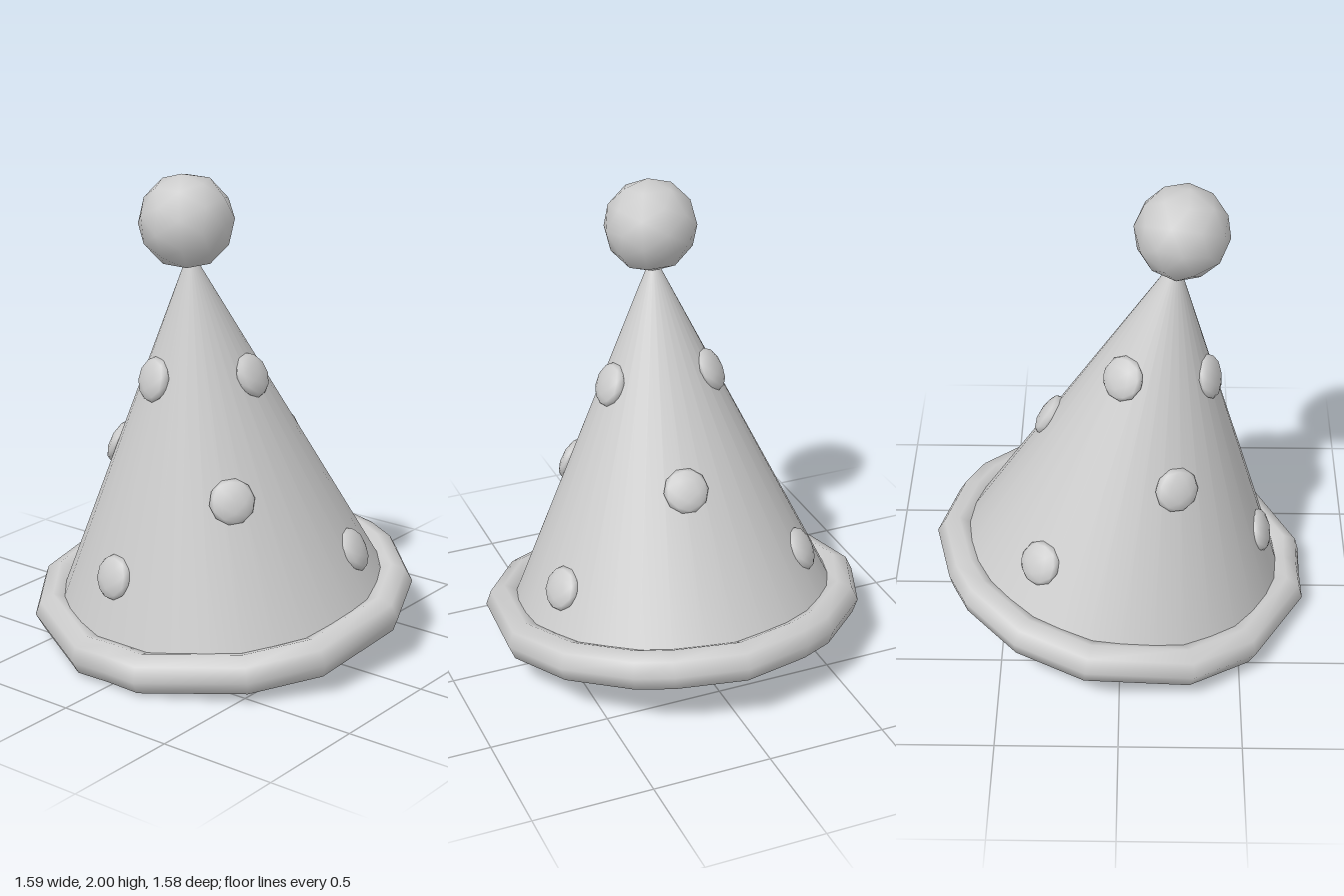
import * as THREE from 'three';

const CONE_H = 1.465, R_BASE = 0.7, R_TIP = 0.03, TILT = 0.142;

// Wobbly rim: octagonal tube swept through uneven stations [degrees from the back, outer radius]
function rimGeometry() {
  const half = [[22, 0.789], [34, 0.793], [57, 0.8], [80, 0.806], [112.5, 0.81], [135.5, 0.802], [168.5, 0.808]];
  const stations = [[0, 0.805], ...half, [180, 0.787], ...half.map(([a, r]) => [360 - a, r]).reverse()];
  const tube = 0.084, sides = 8, n = stations.length;
  const pos = [], index = [];
  stations.forEach(([deg, outer], i) => {
    const a = THREE.MathUtils.degToRad(deg);
    for (let j = 0; j < sides; j++) {
      const t = (j / sides) * Math.PI * 2;
      const r = outer - tube + tube * Math.cos(t);
      pos.push(r * Math.sin(a), tube * Math.sin(t), -r * Math.cos(a));
      const i2 = (i + 1) % n, j2 = (j + 1) % sides;
      const p = i * sides + j, q = i2 * sides + j, s = i2 * sides + j2, u = i * sides + j2;
      index.push(p, u, q, q, u, s);
    }
  });
  const g = new THREE.BufferGeometry();
  g.setAttribute('position', new THREE.Float32BufferAttribute(pos, 3));
  g.setIndex(index);
  g.computeVertexNormals();
  return g;
}

export function createModel() {
  const felt = new THREE.MeshStandardMaterial({ color: 0xcccccc });
  felt.name = 'light grey';

  const root = new THREE.Group();
  root.name = 'partyHat';
  const hat = new THREE.Group();
  hat.name = 'tiltedHat';
  hat.position.y = 0.193;
  hat.rotation.x = TILT;
  root.add(hat);

  const add = (name, geometry) => {
    const m = new THREE.Mesh(geometry, felt);
    m.name = name;
    hat.add(m);
    return m;
  };

  // Cone body, closed underneath
  add('cone', new THREE.CylinderGeometry(R_TIP, R_BASE, CONE_H, 32)).position.y = CONE_H / 2;

  add('rim', rimGeometry());

  // Pompom on the tip
  add('pompom', new THREE.IcosahedronGeometry(0.193, 1)).position.set(0, 1.645, 0.004);

  // Flattened buttons lying on the slope: [azimuth from the front in degrees, height along the axis]
  const dots = [
    [-18.7, 1.034], [-9.9, 0.294], [49.7, 0.606], [98, 1.015], [109, 0.235],
    [170, 0.64], [-129, 1.04], [-70, 0.666], [-129.5, 0.262],
  ];
  // Turn a corner of the icosahedron to the pole, then squash
  const pole = new THREE.Vector3(0, 1, (1 + Math.sqrt(5)) / 2).normalize();
  const toZ = new THREE.Quaternion().setFromUnitVectors(
    new THREE.Vector3(0, pole.y, pole.z), new THREE.Vector3(0, 0, 1));
  const dotGeometry = new THREE.IcosahedronGeometry(0.093, 1).applyQuaternion(toZ).scale(1, 1, 0.4);
  const slope = (R_BASE - R_TIP) / CONE_H;
  dots.forEach(([deg, h], i) => {
    const a = THREE.MathUtils.degToRad(deg), r = R_BASE - slope * h;
    const dot = add('dot' + (i + 1), dotGeometry);
    dot.position.set(r * Math.sin(a), h, r * Math.cos(a));
    dot.rotation.set(-Math.atan(slope), a, 0, 'YXZ');
  });

  return root;
}
